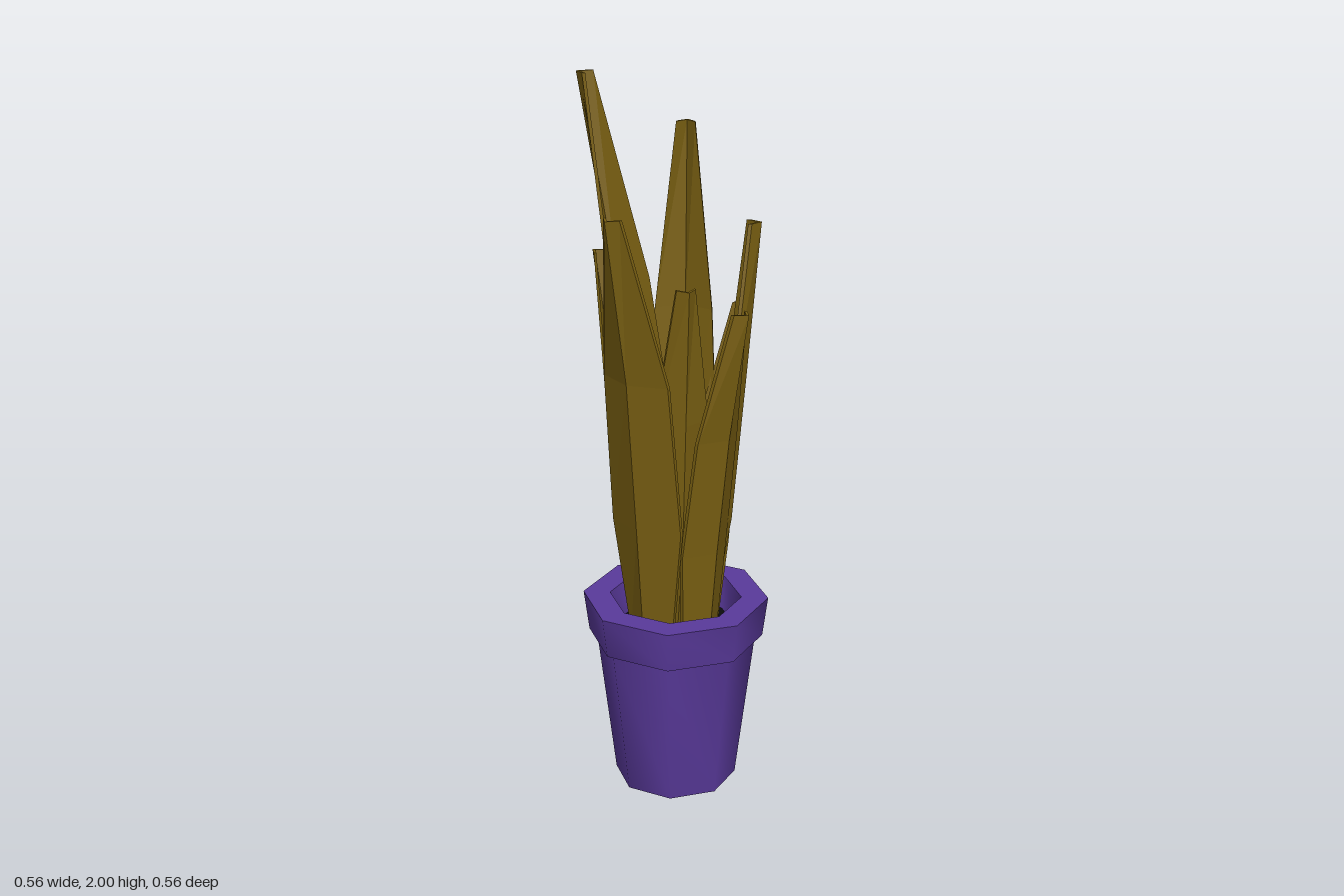
import * as THREE from 'three';
import { toCreasedNormals } from 'three/addons/utils/BufferGeometryUtils.js';

const potMat = new THREE.MeshStandardMaterial({ color: 0x5a3a9c });
const soilMat = new THREE.MeshStandardMaterial({ color: 0x0c0c0c });
const leafMat = new THREE.MeshStandardMaterial({ color: 0x7a6012, flatShading: true });

const BASE_Y = 0.45;
const THICK = 0.01;

// Folded blade: rows of [height, keel distance outward, half width, fold depth], lofted from base to tip.
function leafGeometry(dirX, dirZ, rows) {
  const len = Math.hypot(dirX, dirZ);
  const dx = dirX / len, dz = dirZ / len;
  const rings = rows.map(([y, r, w, fold]) =>
    [[r - fold, -w], [r, 0], [r - fold, w], [r - fold - THICK, w], [r - THICK, 0], [r - fold - THICK, -w]]
      .map(([out, side]) => [dx * out + dz * side, y, dz * out - dx * side]));
  const pos = [];
  const quad = (a, b, c, d) => pos.push(...a, ...b, ...c, ...a, ...c, ...d);
  for (let k = 0; k < rings.length - 1; k++) {
    const lo = rings[k], hi = rings[k + 1];
    for (let i = 0; i < 6; i++) {
      const j = (i + 1) % 6;
      quad(lo[i], lo[j], hi[j], hi[i]);
    }
  }
  // end caps
  const t = rings[rings.length - 1], b = rings[0];
  quad(t[0], t[1], t[4], t[5]);
  quad(t[1], t[2], t[3], t[4]);
  quad(b[5], b[4], b[1], b[0]);
  quad(b[4], b[3], b[2], b[1]);
  const geo = new THREE.BufferGeometry();
  geo.setAttribute('position', new THREE.Float32BufferAttribute(pos, 3));
  geo.computeVertexNormals();
  return geo;
}

// tip: [x, y, z]; keel distances and half widths at base, lower and upper rows
const leaves = [
  { name: 'tallLeaf', tip: [-0.13, 2.0, -0.235], keel: [0.05, 0.09, 0.165], half: [0.055, 0.145, 0.125] },
  { name: 'backLeaf', tip: [-0.05, 1.5, -0.28], keel: [0.13, 0.175, 0.22], half: [0.06, 0.085, 0.07] },
  { name: 'backLeftLeaf', tip: [0.205, 1.84, -0.18], keel: [0.135, 0.205, 0.25], half: [0.045, 0.105, 0.08] },
  { name: 'leftLeaf', tip: [0.28, 1.35, -0.005], keel: [0.155, 0.18, 0.215], half: [0.06, 0.085, 0.075] },
  { name: 'frontLeftLeaf', tip: [0.185, 1.62, 0.145], keel: [0.11, 0.165, 0.2], half: [0.035, 0.085, 0.07] },
  { name: 'frontLeaf', tip: [0.035, 1.42, 0.265], keel: [0.14, 0.165, 0.205], half: [0.07, 0.09, 0.08] },
  { name: 'innerFrontLeaf', tip: [-0.06, 1.47, 0.14], keel: [0.05, 0.1, 0.125], half: [0.045, 0.09, 0.075] },
  { name: 'rightLeaf', tip: [-0.28, 1.68, 0.07], keel: [0.135, 0.165, 0.205], half: [0.07, 0.115, 0.105] },
];

export function createModel() {
  const model = new THREE.Group();
  const add = (parent, name, geo, mat) => {
    const mesh = new THREE.Mesh(geo, mat);
    mesh.name = name;
    parent.add(mesh);
    return mesh;
  };

  // Eight-sided pot with a flared rim and an open top
  const pot = new THREE.Group();
  pot.name = 'pot';
  pot.position.set(-0.005, 0, 0.02);
  model.add(pot);
  const profile = [[0.172, 0], [0.225, 0.44], [0.245, 0.44], [0.26, 0.555], [0.185, 0.555], [0.172, BASE_Y]]
    .map(([r, y]) => new THREE.Vector2(r, y));
  add(pot, 'potWall', toCreasedNormals(new THREE.LatheGeometry(profile, 8), Math.PI / 3), potMat);

  const bottom = add(pot, 'potBottom', new THREE.CircleGeometry(0.172, 8), potMat);
  bottom.rotation.x = Math.PI / 2;
  const soil = add(pot, 'soil', new THREE.CircleGeometry(0.175, 8), soilMat);
  soil.rotation.x = -Math.PI / 2;
  soil.position.y = BASE_Y + 0.01;

  // Upright leaves leaning outward
  const foliage = new THREE.Group();
  foliage.name = 'leaves';
  model.add(foliage);
  for (const { name, tip, keel, half } of leaves) {
    const [x, y, z] = tip;
    const at = (t) => BASE_Y + (y - BASE_Y) * t;
    add(foliage, name, leafGeometry(x, z, [
      [at(0), keel[0], half[0], 0.035],
      [at(0.28), keel[1], half[1], 0.045],
      [at(0.63), keel[2], half[2], 0.04],
      [y, Math.hypot(x, z), 0.026, 0.028],
    ]), leafMat);
  }
  return model;
}
